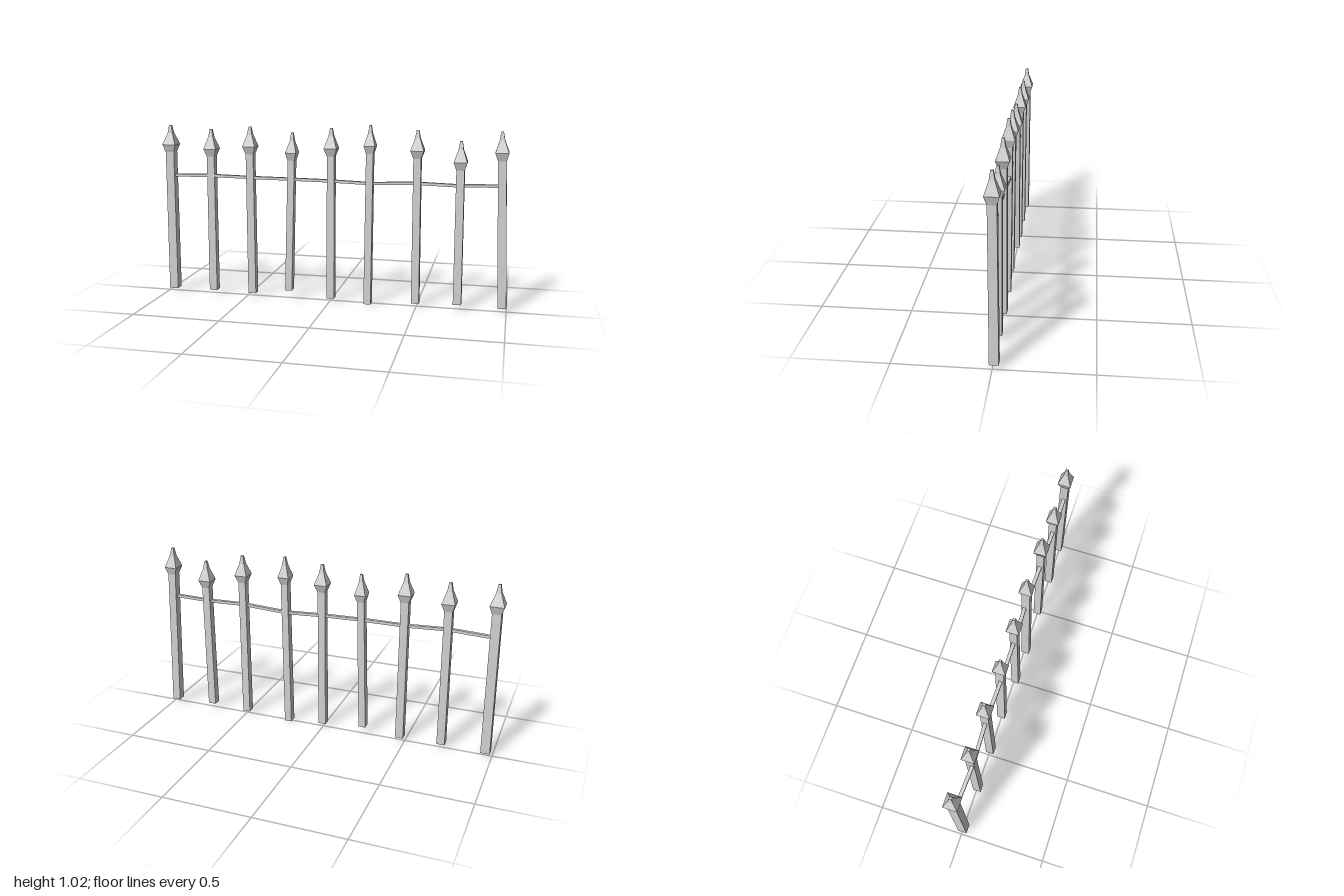
import * as THREE from 'three';

const iron = new THREE.MeshStandardMaterial({ color: 0xd3d3d3 });
iron.name = 'light grey iron';

// Gives every face its own flat normal
function faceted(geometry) {
  const g = geometry.toNonIndexed();
  g.computeVertexNormals();
  return g;
}

// Square post with a flared spear head, leaning from its foot to its tip
function picket({ foot, tip, bottom, top, half, head, narrow }) {
  const profile = [
    [0, bottom], [half, bottom], [half * 0.96, top - 0.157],
    [head, top - 0.113], [0.014, top - 0.045], [0.007, top], [0, top],
  ].map(([r, y]) => new THREE.Vector2(r * Math.SQRT2, y));
  const g = new THREE.LatheGeometry(profile, 4, Math.PI / 4);
  const p = g.attributes.position;
  for (let i = 0; i < p.count; i++) {
    const t = (p.getY(i) - bottom) / (top - bottom);
    p.setX(i, p.getX(i) * narrow + THREE.MathUtils.lerp(foot[0], tip[0], t));
    p.setZ(i, p.getZ(i) + THREE.MathUtils.lerp(foot[1], tip[1], t));
  }
  return new THREE.Mesh(faceted(g), iron);
}

// foot x, foot z, tip x, tip z, bottom, top, half width, head half width, x narrowing
const PICKETS = [
  [-0.963, 0.003, -0.961, -0.005, 0.02, 1.00, 0.026, 0.039, 1],
  [-0.711, 0.006, -0.709, -0.003, 0.024, 0.98, 0.023, 0.037, 1],
  [-0.469, 0.005, -0.473, -0.003, 0.02, 1.00, 0.023, 0.037, 1],
  [-0.246, 0.002, -0.221, -0.003, 0.05, 0.97, 0.024, 0.037, 0.85],
  [0.005, 0.01, 0.005, -0.003, 0.02, 1.00, 0.022, 0.037, 1],
  [0.221, 0.008, 0.227, -0.005, 0, 1.02, 0.024, 0.037, 0.86],
  [0.494, 0, 0.49, -0.003, 0.02, 1.00, 0.022, 0.037, 1],
  [0.73, 0.002, 0.726, -0.003, 0.03, 0.943, 0.023, 0.037, 1],
  [0.976, -0.008, 0.941, -0.002, 0.022, 1.00, 0.024, 0.037, 1],
];

// Centre line of the rail, bending slightly at each picket
const RAIL = [
  [-0.95, 0.705, 0], [-0.71, 0.712, 0.011], [-0.475, 0.706, -0.001],
  [-0.22, 0.705, 0.004], [0, 0.702, 0], [0.225, 0.694, -0.008],
  [0.49, 0.706, 0], [0.725, 0.7, 0.002], [0.95, 0.707, 0],
];

// Flat-sided bar whose cross-sections follow the centre line
function railBar() {
  const spans = RAIL.length - 1;
  const g = new THREE.BoxGeometry(spans, 0.016, 0.02, spans, 1, 1);
  const p = g.attributes.position;
  for (let i = 0; i < p.count; i++) {
    const [x, y, z] = RAIL[Math.round(p.getX(i) + spans / 2)];
    p.setXYZ(i, x, p.getY(i) + y, p.getZ(i) + z);
  }
  return new THREE.Mesh(faceted(g), iron);
}

export function createModel() {
  const fence = new THREE.Group();
  fence.name = 'spikedFence';

  PICKETS.forEach(([fx, fz, tx, tz, bottom, top, half, head, narrow], i) => {
    const post = picket({ foot: [fx, fz], tip: [tx, tz], bottom, top, half, head, narrow });
    post.name = `picket${i + 1}`;
    fence.add(post);
  });

  const rail = railBar();
  rail.name = 'rail';
  fence.add(rail);

  return fence;
}
